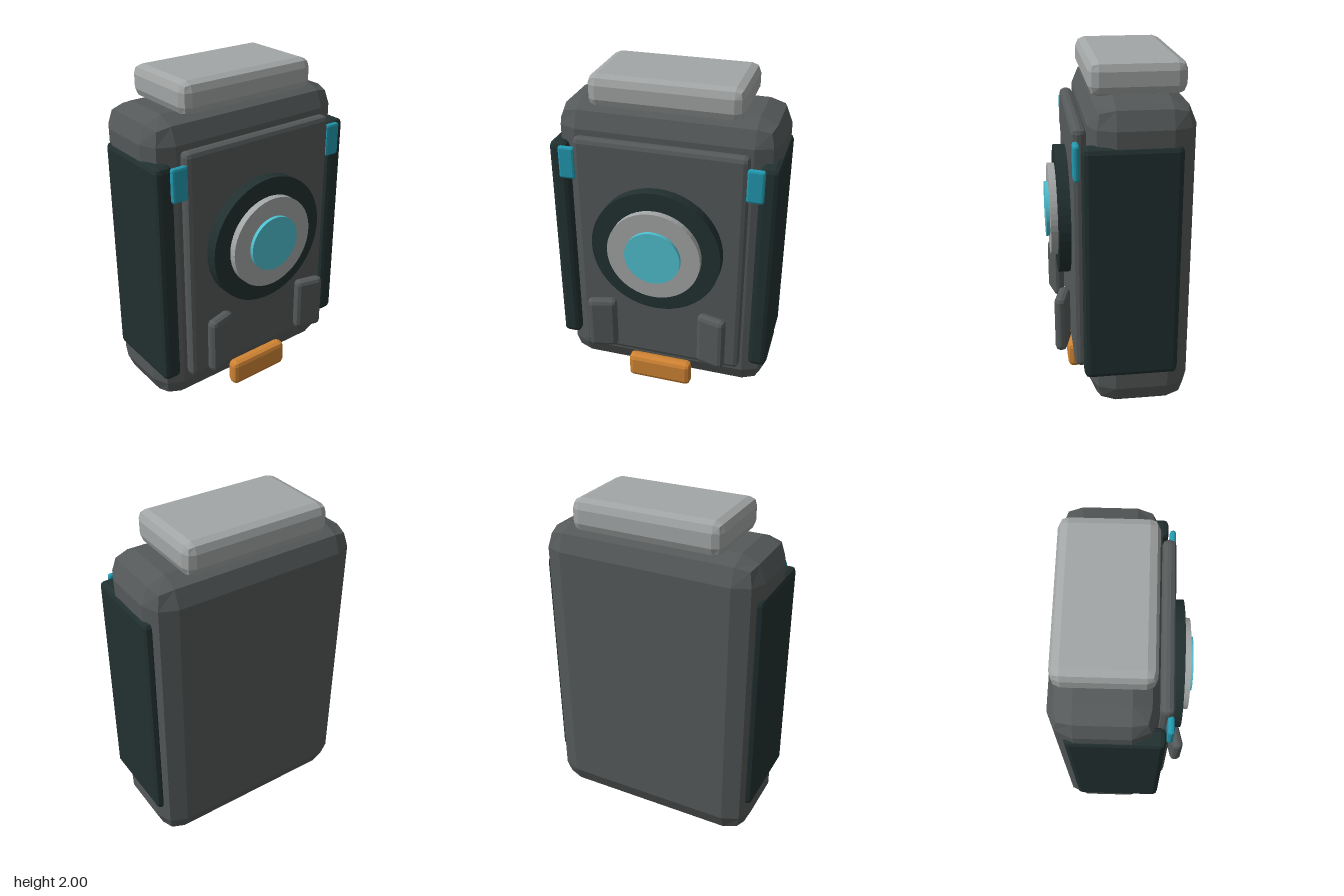
import * as THREE from 'three';
import { RoundedBoxGeometry } from 'three/addons/geometries/RoundedBoxGeometry.js';

const material = (name, color) => {
  const m = new THREE.MeshStandardMaterial({ color });
  m.name = name;
  m.flatShading = true;
  return m;
};

export function createModel() {
  const shell = material('charcoal shell', 0x555959);
  const dark = material('dark rubber', 0x223030);
  const silver = material('silver grey', 0xa3a6a6);
  const glass = material('bright cyan', 0x4fc0cf);
  const teal = material('teal', 0x2299b0);
  const orange = material('orange', 0xd08433);

  const group = new THREE.Group();
  group.name = 'device';

  // Chamfered block given by its size, centre and edge radius
  const block = (name, mat, [w, h, d], [x, y, z], r) => {
    const mesh = new THREE.Mesh(new RoundedBoxGeometry(w, h, d, 1, r), mat);
    mesh.name = name;
    mesh.position.set(x, y, z);
    group.add(mesh);
    return mesh;
  };

  // Disc facing the front, from z0 to z1
  const disc = (name, mat, radius, z0, z1) => {
    const geo = new THREE.CylinderGeometry(radius, radius, z1 - z0, 48).rotateX(Math.PI / 2);
    const mesh = new THREE.Mesh(geo, mat);
    mesh.name = name;
    mesh.position.set(0, 1.028, (z0 + z1) / 2);
    group.add(mesh);
  };

  // Main case, top cap and front plate
  block('body', shell, [1.32, 1.82, 0.58], [0, 0.915, -0.107], 0.14);
  block('topCap', silver, [0.9, 0.19, 0.535], [0, 1.905, -0.103], 0.055);
  block('frontPlate', shell, [1.02, 1.45, 0.08], [0, 0.938, 0.224], 0.03);

  // Stepped round lens
  disc('lensRing', dark, 0.39, 0.22, 0.333);
  disc('lensBezel', silver, 0.28, 0.3, 0.374);
  disc('lensGlass', glass, 0.167, 0.34, 0.396);

  // Mirrored side parts
  for (const s of [-1, 1]) {
    const side = s > 0 ? 'left' : 'right';
    block(side + 'SidePanel', dark, [0.112, 1.365, 0.535], [s * 0.617, 0.917, -0.046], 0.03);
    block(side + 'Tab', teal, [0.1, 0.2, 0.036], [s * 0.55, 1.5, 0.246], 0.014);
    const pad = block(side + 'Pad', shell, [0.18, 0.35, 0.07], [s * 0.348, 0.455, 0.324], 0.028);
    pad.rotation.y = -s * 0.25;
  }

  // Lower front bar
  block('lowerBar', orange, [0.41, 0.165, 0.08], [0, 0.095, 0.245], 0.03);

  return group;
}
